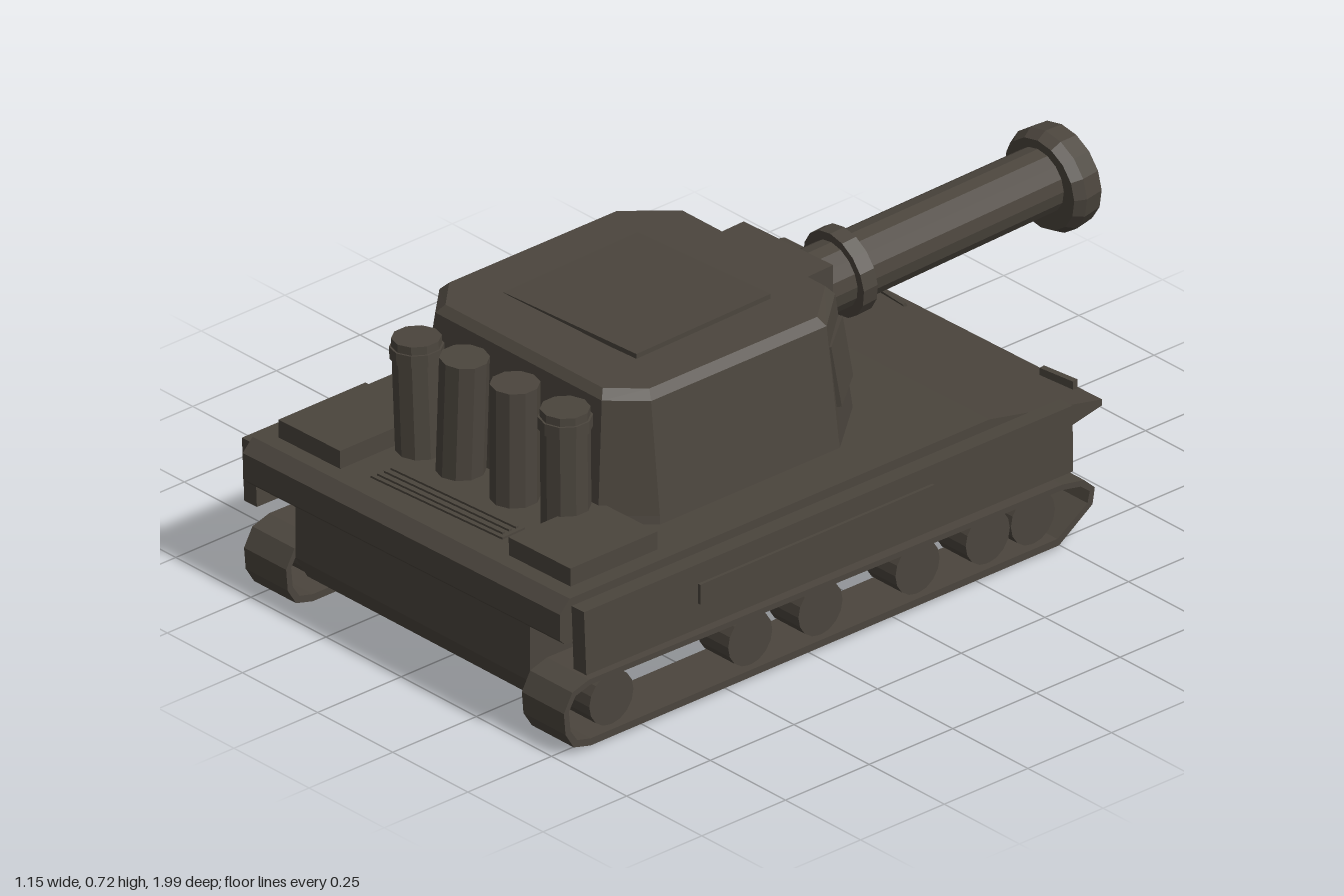
import * as THREE from 'three';

const paint = new THREE.MeshStandardMaterial({ color: 0x4b453d });
paint.name = 'dark olive steel';

// Faceted mesh with hard edges
function part(name, geometry, pos = [0, 0, 0], rot = [0, 0, 0], order = 'XYZ') {
  const g = geometry.index ? geometry.toNonIndexed() : geometry;
  g.computeVertexNormals();
  const mesh = new THREE.Mesh(g, paint);
  mesh.name = name;
  mesh.position.set(...pos);
  mesh.rotation.set(rot[0], rot[1], rot[2], order);
  return mesh;
}

const box = (w, h, d) => new THREE.BoxGeometry(w, h, d);
const cyl = (r1, r2, h, n) => new THREE.CylinderGeometry(r1, r2, h, n);
const vectors = (pts) => pts.map(([a, b]) => new THREE.Vector2(a, b));

// Side profile of [z, y] points extruded across x, centred on x = 0
function across(profile, width, hole) {
  const shape = new THREE.Shape(vectors(profile));
  if (hole) shape.holes.push(new THREE.Path(vectors(hole)));
  const g = new THREE.ExtrudeGeometry(shape, { depth: width, bevelEnabled: false });
  return g.translate(0, 0, -width / 2).rotateY(-Math.PI / 2);
}

// Eight-sided ring, counter-clockwise from above: half width, front z, back z, corner cuts
function octagon(y, cx, w, zf, zb, cutX, cutF, cutB) {
  return [
    [w, zb - cutB], [w, zf + cutF], [w - cutX, zf], [cutX - w, zf],
    [-w, zf + cutF], [-w, zb - cutB], [cutX * 0.75 - w, zb], [w - cutX * 0.75, zb],
  ].map(([x, z]) => [x + cx, y, z]);
}

// Closed solid through a stack of rings
function loft(rings) {
  const v = [];
  const n = rings[0].length;
  const tri = (a, b, c) => v.push(...a, ...b, ...c);
  for (let r = 0; r < rings.length - 1; r++) {
    for (let i = 0; i < n; i++) {
      const j = (i + 1) % n;
      const [a, b] = [rings[r], rings[r + 1]];
      tri(a[i], a[j], b[j]);
      tri(a[i], b[j], b[i]);
    }
  }
  const [bottom, top] = [rings[0], rings[rings.length - 1]];
  for (let i = 1; i < n - 1; i++) {
    tri(top[0], top[i], top[i + 1]);
    tri(bottom[0], bottom[i + 1], bottom[i]);
  }
  const g = new THREE.BufferGeometry();
  g.setAttribute('position', new THREE.Float32BufferAttribute(v, 3));
  return g;
}

export function createModel() {
  const model = new THREE.Group();
  model.name = 'tank';

  // Lower hull
  model.add(part('lowerHull', across([
    [0.93, 0.4], [0.965, 0.46], [0.965, 0.64], [-0.585, 0.64], [-0.45, 0.4],
  ], 0.78)));

  // Upper hull with its skirts and deck gear, leaning very slightly to the right
  const upper = new THREE.Group();
  upper.name = 'upperHull';
  upper.position.y = 0.66;
  upper.rotation.z = 0.014;
  model.add(upper);
  const deck = part('deckSlab', across([
    [0.98, 0.605], [0.995, 0.62], [0.995, 0.685], [0.965, 0.715],
    [-0.29, 0.715], [-0.625, 0.645], [-0.625, 0.63], [-0.5, 0.605],
  ], 1.055), [-0.005, -0.66, 0]);
  upper.add(deck);
  for (const s of [1, -1]) {
    const x = s * 0.548 - 0.005;
    upper.add(part('sideSkirt', across([
      [0.955, 0.54], [0.96, 0.7], [-0.5, 0.695], [-0.5, 0.53],
    ], 0.042), [x, -0.665, 0]));
    upper.add(part('skirtStrip', box(0.01, 0.05, 0.7), [x + s * 0.024, -0.04, 0.27]));
    upper.add(part('stowageBox', box(0.205, 0.05, 0.26), [s * 0.383 - 0.005, 0.075, 0.795]));
  }
  upper.add(part('engineGrille', box(0.42, 0.008, 0.07), [0, 0.056, 0.86], [0, 0.04, 0]));
  for (let i = 0; i < 3; i++) {
    upper.add(part('grilleBar', box(0.4, 0.006, 0.008), [0, 0.062, 0.84 + i * 0.02], [0, 0.04, 0]));
  }
  // Loose plates on the nose
  upper.add(part('noseFlap', box(0.2, 0.1, 0.008), [-0.195, -0.04, -0.62], [0.5, -0.08, 0]));
  upper.add(part('noseLug', box(0.1, 0.04, 0.015), [0.4, -0.01, -0.605], [0, 0.1, 0]));

  // Tracks and road wheels
  const outer = [
    [0.91, 0.332], [0.96, 0.345], [0.985, 0.385], [0.99, 0.44], [0.965, 0.485], [0.915, 0.5],
    [-0.5, 0.482], [-0.565, 0.47], [-0.597, 0.44], [-0.59, 0.4], [-0.49, 0.332],
  ];
  const inner = [
    [0.91, 0.35], [0.95, 0.36], [0.97, 0.39], [0.975, 0.44], [0.955, 0.473], [0.91, 0.486],
    [-0.5, 0.468], [-0.555, 0.457], [-0.582, 0.436], [-0.575, 0.408], [-0.485, 0.35],
  ];
  for (const s of [1, -1]) {
    const side = new THREE.Group();
    side.name = s > 0 ? 'leftTrack' : 'rightTrack';
    side.position.set(s > 0 ? 0.46 : -0.464, s > 0 ? 0.003 : -0.004, 0);
    side.add(part('trackBand', across(outer, 0.14, inner)));
    for (const z of [0.83, 0.415, 0.205, -0.085, -0.295, -0.43]) {
      side.add(part('roadWheel', cyl(0.066, 0.066, 0.1, 16), [0, 0.415, z], [0, 0, Math.PI / 2]));
      side.add(part('wheelAxle', cyl(0.025, 0.025, 0.12, 8), [-s * 0.04, 0.415, z], [0, 0, Math.PI / 2]));
    }
    model.add(side);
  }

  // Turret
  const turret = new THREE.Group();
  turret.name = 'turret';
  model.add(turret);
  turret.add(part('turretBody', loft([
    octagon(0.7, 0, 0.398, -0.107, 0.685, 0.125, 0.15, 0.1),
    octagon(0.74, 0, 0.393, -0.105, 0.68, 0.125, 0.15, 0.1),
    octagon(1.015, 0.006, 0.352, -0.065, 0.655, 0.1, 0.115, 0.08),
    octagon(1.035, 0.006, 0.333, -0.048, 0.638, 0.095, 0.11, 0.075),
  ])));
  turret.add(part('roofHatch', box(0.43, 0.012, 0.41), [0, 1.037, 0.295], [0, 0.025, 0.03]));
  for (const s of [1, -1]) {
    turret.add(part('cheekPlate', box(0.15, 0.15, 0.025),
      [s * (s > 0 ? 0.317 : 0.322), 0.885, -0.017], [-0.16, s * 2.24, 0], 'YXZ'));
  }

  // Gun
  turret.add(part('mantlet', box(0.285, 0.215, 0.13), [0.005, 0.9, -0.09], [0, 0.04, 0]));
  const gun = new THREE.Group();
  gun.name = 'gun';
  gun.position.set(0.015, 0.887, -0.14);
  gun.rotation.y = 0.034;
  turret.add(gun);
  const along = -Math.PI / 2;
  gun.add(part('barrel', cyl(0.079, 0.083, 0.8, 16), [0, 0, -0.4], [along, 0, 0]));
  gun.add(part('barrelCollar', cyl(0.106, 0.106, 0.04, 16), [0, 0, -0.165], [along + 0.1, 0, -0.08]));
  gun.add(part('muzzle', new THREE.LatheGeometry(vectors([
    [0, -0.04], [0.112, -0.04], [0.127, -0.015], [0.122, 0.035], [0.105, 0.035], [0.1, 0.027], [0, 0.027],
  ]), 16), [0, -0.009, -0.818], [along + 0.05, 0, 0]));

  // Row of canisters behind the turret
  [[-0.25, 0.99, 0.05, true], [-0.09, 1.003, -0.04, false],
    [0.078, 1.005, 0, false], [0.245, 1.01, 0.01, true]].forEach(([x, top, lean, capped]) => {
    const can = new THREE.Group();
    can.name = 'canister';
    can.position.set(x, top, 0.73);
    can.rotation.z = lean;
    can.add(part('canisterBody', cyl(0.057, 0.057, 0.3, 10), [0, -0.15, 0]));
    if (capped) can.add(part('canisterCap', cyl(0.062, 0.062, 0.03, 10), [0, -0.035, 0]));
    turret.add(can);
  });

  return model;
}
